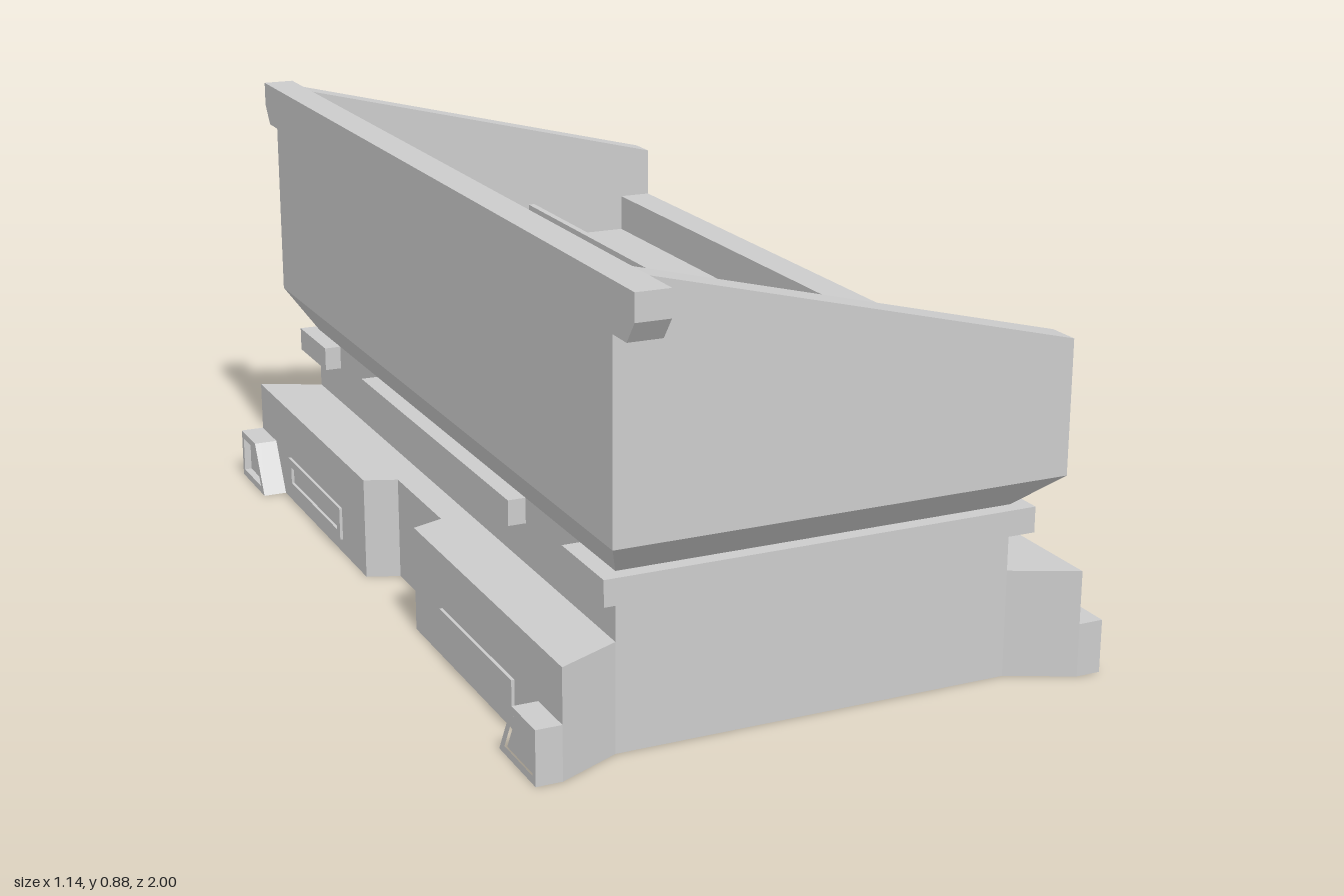
import * as THREE from 'three';

const mat = new THREE.MeshStandardMaterial({ color: 0xcccccc, flatShading: true });

export function createModel() {
  const root = new THREE.Group();

  const add = (name, geo) => {
    const mesh = new THREE.Mesh(geo, mat);
    mesh.name = name;
    root.add(mesh);
    return mesh;
  };
  // Box given by its limits
  const box = (name, x0, x1, y0, y1, z0, z1) => {
    const g = new THREE.BoxGeometry(x1 - x0, y1 - y0, z1 - z0);
    g.translate((x0 + x1) / 2, (y0 + y1) / 2, (z0 + z1) / 2);
    return add(name, g);
  };
  const outline = (pts) => new THREE.Shape(pts.map(([a, b]) => new THREE.Vector2(a, b)));
  const extrude = (pts, depth, hole) => {
    const s = outline(pts);
    if (hole) s.holes.push(outline(hole));
    return new THREE.ExtrudeGeometry(s, { depth, bevelEnabled: false });
  };
  // Profile drawn in (z, y), extruded from x0 along x; mirrored by swapping signs
  const sideways = (name, pts, x0, depth, sx, sz, hole) => {
    const flip = (list) => list && list.map(([z, y]) => [-z * sz, y]);
    const g = extrude(flip(pts), depth, flip(hole));
    g.rotateY(Math.PI / 2);
    g.translate(sx > 0 ? x0 : -x0 - depth, 0, 0);
    return add(name, g);
  };

  // Base slab with side notches and flared corners
  const quarter = [[0.455, 0], [0.455, 0.125], [0.52, 0.15], [0.52, 0.875], [0.395, 0.815]];
  const right = [...quarter.slice(1).reverse().map(([x, z]) => [x, -z]), ...quarter.slice(1)];
  const left = right.map(([x, z]) => [-x, -z]);
  const base = extrude([...right, ...left], 0.21);
  base.rotateX(-Math.PI / 2);
  add('base', base);

  // Body between base and hopper
  box('body', -0.395, 0.395, 0.21, 0.34, -0.815, 0.815);

  // Hopper underside: a box whose lower corners are pulled in
  const flare = new THREE.BoxGeometry(0.89, 0.08, 1.83);
  flare.translate(0, 0.38, 0);
  const p = flare.attributes.position;
  for (let i = 0; i < p.count; i++) {
    if (p.getY(i) < 0.38) {
      p.setX(i, Math.sign(p.getX(i)) * 0.395);
      p.setZ(i, Math.sign(p.getZ(i)) * 0.815);
    }
  }
  flare.computeVertexNormals();
  add('hopperUnderside', flare);

  // Hopper floor and long walls
  box('hopperFloor', -0.38, 0.445, 0.42, 0.49, -0.85, 0.85);
  box('tallWall', -0.445, -0.38, 0.42, 0.88, -0.915, 0.915);
  box('lowWall', 0.375, 0.445, 0.49, 0.57, -0.85, 0.85);

  for (const s of [1, -1]) {
    // Sloping end wall
    const end = extrude([[-0.38, 0.42], [0.445, 0.42], [0.445, 0.675], [-0.38, 0.88]], 0.065);
    end.translate(0, 0, s > 0 ? 0.85 : -0.915);
    add('endWall', end);

    // Lug on the end of the tall wall
    sideways('lug', [[0.915, 0.79], [0.97, 0.79], [1, 0.83], [1, 0.88], [0.915, 0.88]],
      0.38, 0.065, -1, s);

    // Trim wrapping each end of the body
    const z = [0.815 * s, 0.845 * s].sort((a, b) => a - b);
    box('endTrim', -0.43, 0.43, 0.29, 0.34, z[0], z[1]);
    for (const sx of [1, -1]) {
      const x = [0.395 * sx, 0.43 * sx].sort((a, b) => a - b);
      const zc = [0.665 * s, 0.815 * s].sort((a, b) => a - b);
      box('cornerTrim', x[0], x[1], 0.29, 0.34, zc[0], zc[1]);
      if (s > 0) box('sideTrim', x[0], x[1], 0.29, 0.34, -0.415, 0.415);

      // Corner foot: solid back with a recessed outer frame
      const foot = [[0.71, 0], [0.875, 0], [0.875, 0.105], [0.77, 0.105]];
      const recess = [[0.735, 0.015], [0.862, 0.015], [0.862, 0.09], [0.777, 0.09]];
      sideways('foot', foot, 0.52, 0.035, sx, s);
      sideways('footFrame', foot, 0.555, 0.015, sx, s, recess);

      // Slim frame on the side of the base
      sideways('sideFrame', [[0.3, 0.03], [0.66, 0.03], [0.66, 0.1], [0.3, 0.1]],
        0.52, 0.006, sx, s, [[0.32, 0.047], [0.64, 0.047], [0.64, 0.083], [0.32, 0.083]]);
    }
  }

  // Rails bridging the floor on end posts
  for (const x of [-0.13, 0.115]) {
    sideways('rail', [[-0.78, 0.49], [-0.66, 0.49], [-0.66, 0.56], [0.66, 0.56], [0.66, 0.49],
      [0.78, 0.49], [0.78, 0.59], [-0.78, 0.59]], x - 0.007, 0.014, 1, 1);
  }

  return root;
}
